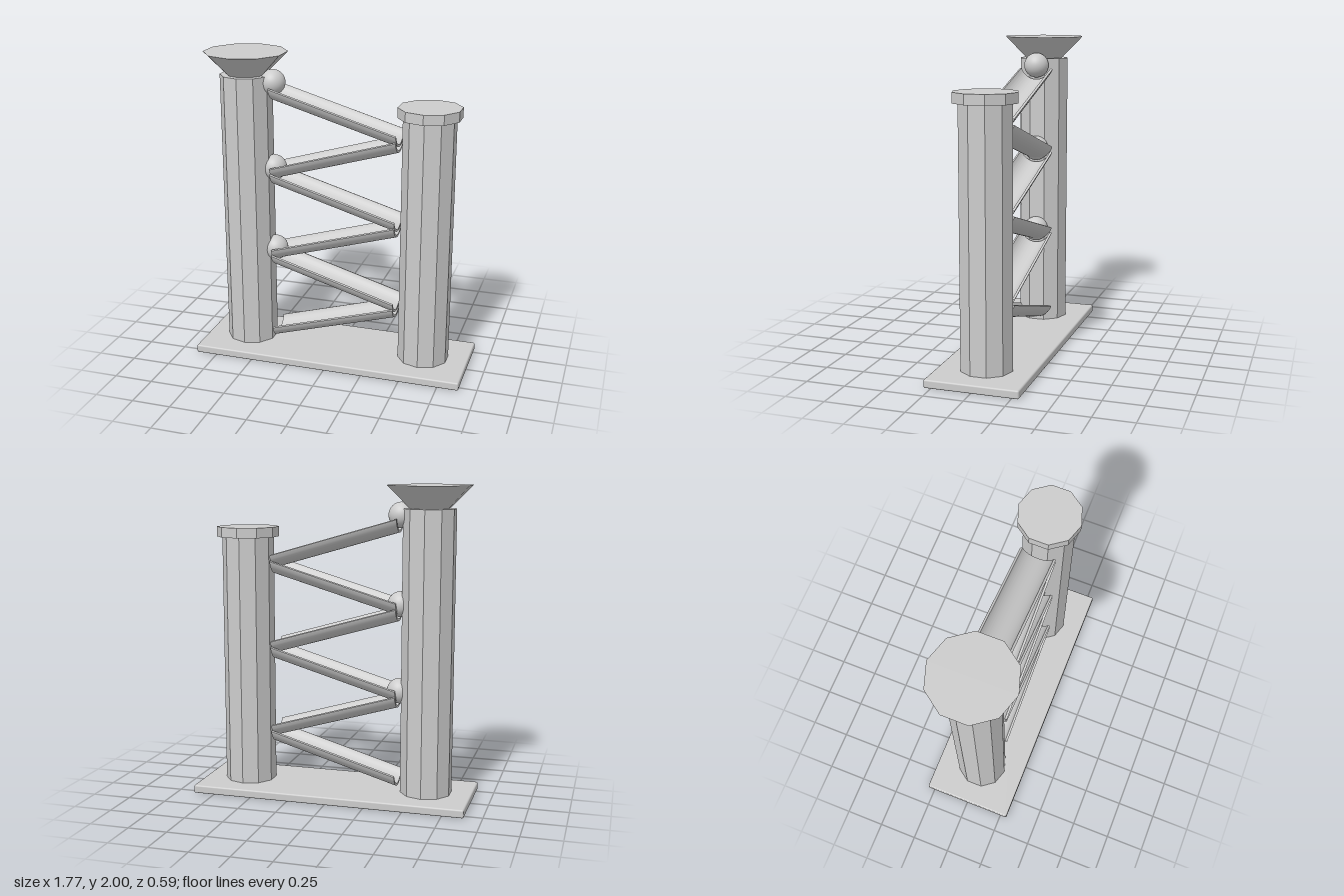
import * as THREE from 'three';
import { toCreasedNormals } from 'three/addons/utils/BufferGeometryUtils.js';
import { RoundedBoxGeometry } from 'three/addons/geometries/RoundedBoxGeometry.js';

const BASE_TOP = 0.053;
const TOWER_X = 0.595;
const RAMP_HALF = 0.41;   // half length of a ramp along x
const RAMP_DROP = 0.241;  // height lost along one ramp
const RAMP_STEP = 0.2775; // height between successive ramps

export function createModel() {
  const model = new THREE.Group();
  model.name = 'marbleRun';

  const grey = new THREE.MeshStandardMaterial({ color: 0xcccccc });
  grey.name = 'light grey';

  const add = (name, geometry, x, y, z = 0) => {
    const mesh = new THREE.Mesh(geometry, grey);
    mesh.name = name;
    mesh.position.set(x, y, z);
    model.add(mesh);
    return mesh;
  };

  // Ten-sided faceted column section between two heights
  const prism = (name, x, y0, y1, rBottom, rTop) => {
    const geo = new THREE.CylinderGeometry(rTop, rBottom, y1 - y0, 10);
    add(name, toCreasedNormals(geo, 0.3), x, (y0 + y1) / 2);
  };

  // Base plate with softened edges
  add('base', new RoundedBoxGeometry(1.775, BASE_TOP, 0.59, 2, 0.01), 0, BASE_TOP / 2);

  // Tall tower with funnel, shorter tower with cap
  prism('tallTower', -TOWER_X, BASE_TOP, 1.857, 0.166, 0.166);
  prism('funnel', -TOWER_X, 1.857, 2, 0.125, 0.267);
  prism('shortTower', TOWER_X, BASE_TOP, 1.663, 0.166, 0.166);
  prism('towerCap', TOWER_X, 1.663, 1.727, 0.2, 0.2);

  // Curved channel section, lowest point at y = 0
  const outer = 0.121, inner = 0.106, spread = 1.257;
  const section = new THREE.Shape();
  section.absarc(0, outer, outer, -Math.PI / 2 - spread, -Math.PI / 2 + spread, false);
  section.absarc(0, outer, inner, -Math.PI / 2 + spread, -Math.PI / 2 - spread, true);
  section.closePath();

  // Ramp: straight extrusion sheared so that its ends stay vertical
  const rampGeometry = (direction) => {
    const geo = new THREE.ExtrudeGeometry(section, {
      depth: 2 * RAMP_HALF, bevelEnabled: false, curveSegments: 20,
    });
    geo.translate(0, 0, -RAMP_HALF);
    geo.rotateY(Math.PI / 2);
    const p = geo.attributes.position;
    for (let i = 0; i < p.count; i++) {
      const t = (p.getX(i) * direction) / (2 * RAMP_HALF);
      p.setY(i, p.getY(i) - t * RAMP_DROP);
    }
    return toCreasedNormals(geo, 0.6);
  };

  // Zigzag of six ramps, alternating direction downwards
  const ramps = [rampGeometry(1), rampGeometry(-1)];
  for (let i = 0; i < 6; i++) {
    const highEnd = 1.708 - i * RAMP_STEP;
    add('ramp' + (i + 1), ramps[i % 2], 0, highEnd - RAMP_DROP / 2);
  }

  // Marbles at the top of every right-going ramp
  const ball = new THREE.SphereGeometry(0.081, 32, 20);
  for (let i = 0; i < 3; i++) {
    add('marble' + (i + 1), ball, -0.417, 1.815 - i * 2 * RAMP_STEP);
  }

  return model;
}
